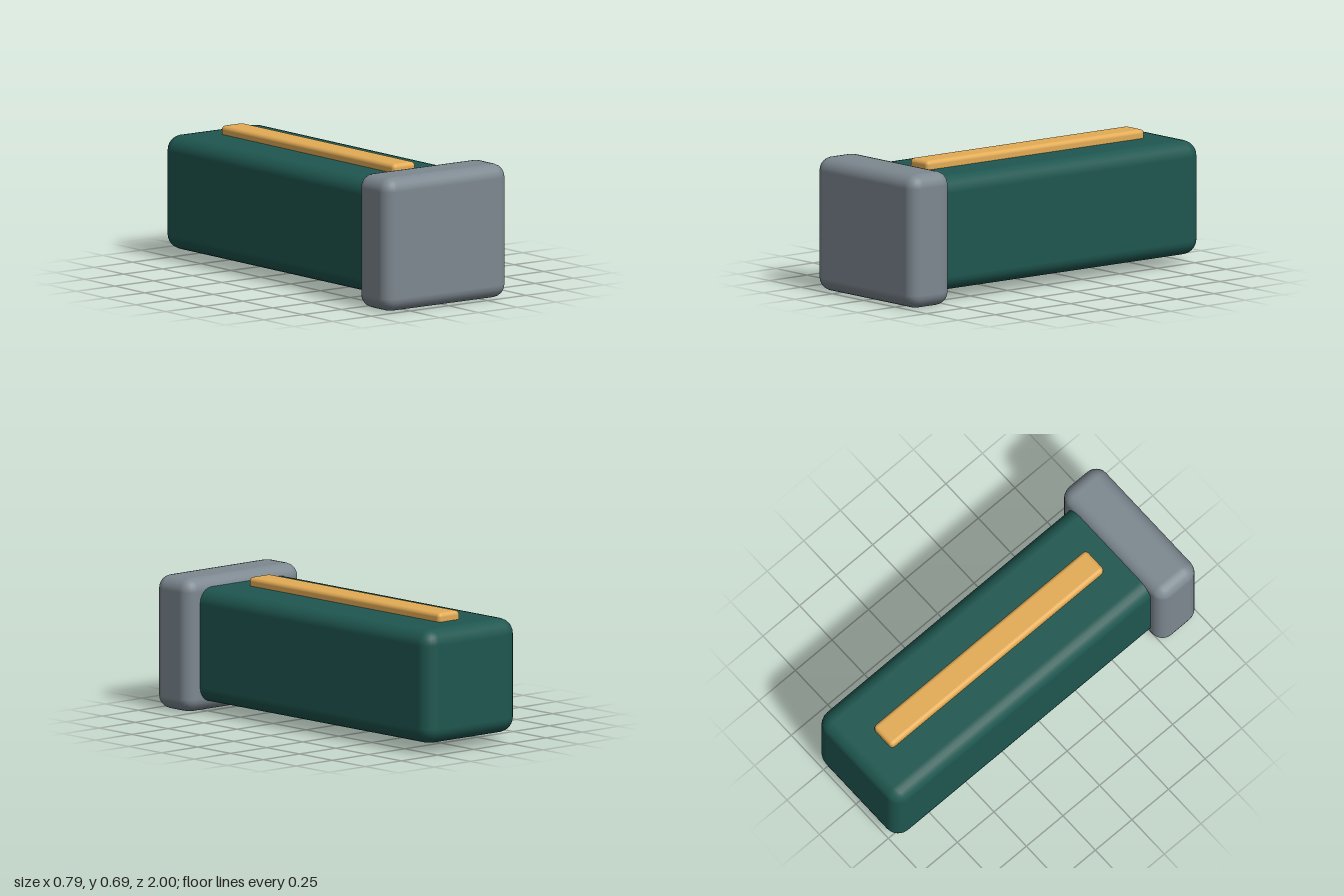
import * as THREE from 'three';
import { RoundedBoxGeometry } from 'three/addons/geometries/RoundedBoxGeometry.js';

// Rounded block given by its lower and upper corners
function block(name, [x0, y0, z0], [x1, y1, z1], radius, color) {
  const geometry = new RoundedBoxGeometry(x1 - x0, y1 - y0, z1 - z0, 3, radius);
  const mesh = new THREE.Mesh(geometry, new THREE.MeshStandardMaterial({ color }));
  mesh.position.set((x0 + x1) / 2, (y0 + y1) / 2, (z0 + z1) / 2);
  mesh.name = name;
  return mesh;
}

export function createModel() {
  const model = new THREE.Group();
  model.name = 'cappedBlock';
  model.add(
    // Long body, its front end seated inside the cap
    block('body', [-0.315, 0.052, -1], [0.315, 0.645, 0.88], 0.08, 0x1f5750),
    // Wider end cap at the front
    block('frontCap', [-0.396, 0, 0.735], [0.396, 0.695, 1], 0.07, 0x7d8890),
    // Raised strip along the top
    block('topStrip', [-0.073, 0.61, -0.82], [0.073, 0.69, 0.635], 0.022, 0xe4ac56),
  );
  return model;
}
